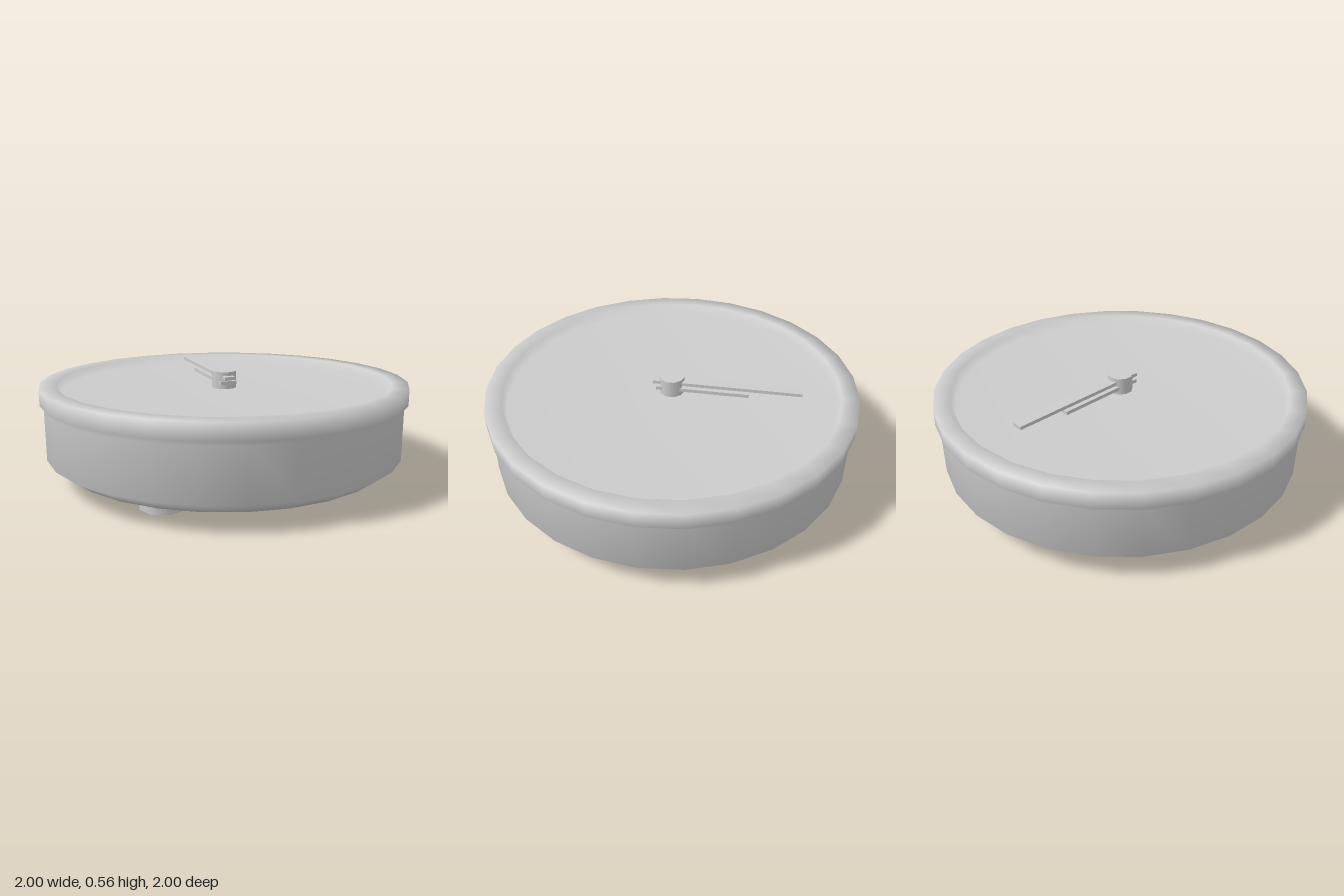
import * as THREE from 'three';

export function createModel() {
  const model = new THREE.Group();
  const grey = new THREE.MeshStandardMaterial({ color: 0xcccccc });
  grey.name = 'light grey';

  const add = (name, geometry, x = 0, y = 0, z = 0) => {
    const mesh = new THREE.Mesh(geometry, grey);
    mesh.name = name;
    mesh.position.set(x, y, z);
    model.add(mesh);
  };

  // Round case: chamfered base, wider rim and sunken dial in one smooth profile
  const profile = [
    [0, 0.083], [0.9, 0.083], [0.98, 0.143], [0.98, 0.41],
    [1, 0.435], [1, 0.52], [0.91, 0.52], [0.89, 0.472], [0, 0.472],
  ].map(([r, y]) => new THREE.Vector2(r, y));
  add('case', new THREE.LatheGeometry(profile, 28));

  // Four short feet
  for (const x of [-0.48, 0.48]) {
    for (const z of [-0.48, 0.48]) {
      add('foot', new THREE.CylinderGeometry(0.12, 0.12, 0.1, 8), x, 0.05, z);
    }
  }

  // Hands, both pointing to the back
  const hand = (name, width, zMin, zMax, yMin, yMax) =>
    add(name, new THREE.BoxGeometry(width, yMax - yMin, zMax - zMin),
      0, (yMin + yMax) / 2, (zMin + zMax) / 2);
  hand('hourHand', 0.09, -0.42, 0.08, 0.499, 0.518);
  hand('minuteHand', 0.06, -0.7, 0.1, 0.526, 0.544);

  // Centre hub
  add('hub', new THREE.CylinderGeometry(0.068, 0.068, 0.095, 10), 0, 0.5175, 0);

  return model;
}
